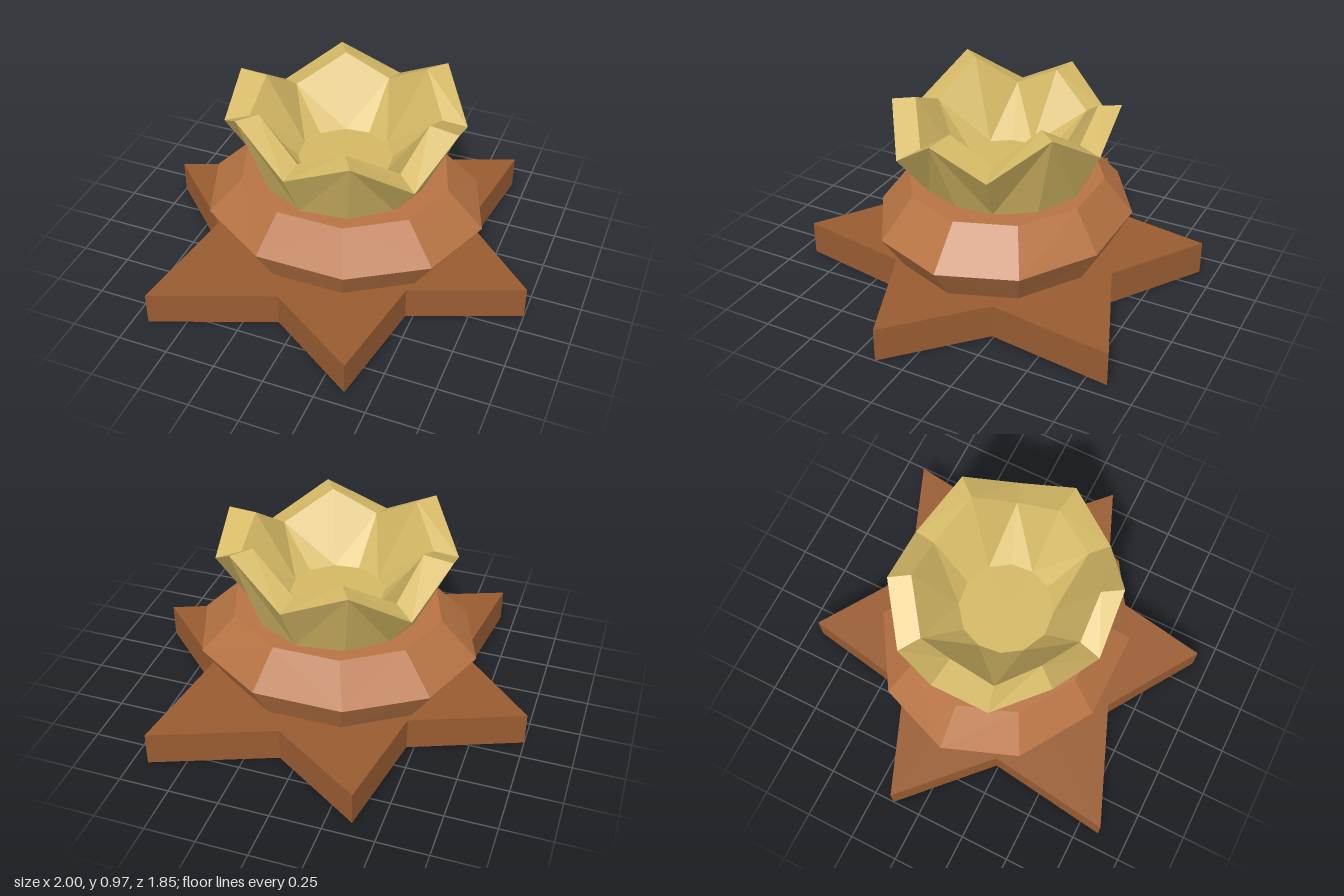
import * as THREE from 'three';

const CX = 0.006, CZ = -0.009;

// Skin between closed rings of [x, y, z] points, with a fan cap at each end
function loft(name, color, rings) {
  const pos = [];
  const tri = (...pts) => pts.forEach(p => pos.push(...p));
  const n = rings[0].length;
  const centre = ring => [0, 1, 2].map(k => ring.reduce((s, p) => s + p[k], 0) / n);
  const first = rings[0], last = rings[rings.length - 1];
  const lowCentre = centre(first), topCentre = centre(last);
  for (let j = 0; j < n; j++) {
    const k = (j + 1) % n;
    tri(lowCentre, first[j], first[k]);
    tri(topCentre, last[k], last[j]);
    for (let i = 0; i < rings.length - 1; i++) {
      const a = rings[i][j], b = rings[i][k], c = rings[i + 1][k], d = rings[i + 1][j];
      // alternate the diagonals so that each petal is symmetrical
      if (j % 2 === 0) { tri(a, d, b); tri(b, d, c); }
      else { tri(a, d, c); tri(a, c, b); }
    }
  }
  const geometry = new THREE.BufferGeometry();
  geometry.setAttribute('position', new THREE.Float32BufferAttribute(pos, 3));
  geometry.computeVertexNormals();
  const mesh = new THREE.Mesh(geometry, new THREE.MeshStandardMaterial({ color, flatShading: true }));
  mesh.name = name;
  return mesh;
}

// Complete a half ring by turning it 180 degrees about the vertical axis
const halfTurn = (half, cx, cz) =>
  [...half, ...half.map(([x, y, z]) => [2 * cx - x, y, 2 * cz - z])];

// Points at a fixed radius, in the same directions as another ring
const towards = (ring, radius, y) => ring.map(([x, , z]) => {
  const s = radius / Math.hypot(x - CX, z - CZ);
  return [CX + (x - CX) * s, y, CZ + (z - CZ) * s];
});

export function createModel() {
  const model = new THREE.Group();
  model.name = 'lotusStand';

  // Six-pointed star plinth
  const starHalf = [[1, 0.145], [0.465, 0.36], [0.37, 0.923], [-0.09, 0.625], [-0.675, 0.855], [-0.595, 0.24]];
  const star = y => halfTurn(starHalf.map(([x, z]) => [x, y, z]), 0, 0);
  model.add(loft('starBase', 0x995c32, [star(0), star(0.17)]));

  // Ten-sided oval collar, widest at mid height
  const oval = (rx, rz, y) => Array.from({ length: 10 }, (_, i) => {
    const t = i * Math.PI / 5;
    return [CX + rx * Math.cos(t), y, CZ + rz * Math.sin(t)];
  });
  model.add(loft('collar', 0xb87444, [oval(0.59, 0.525, 0.17), oval(0.713, 0.62, 0.345), oval(0.53, 0.48, 0.53)]));

  // Petalled bowl: foot, outer rim, inner rim, floor
  const outer = halfTurn([[0.592, 0.915, 0.07], [0.472, 0.73, 0.325], [0.225, 0.912, 0.495],
    [-0.085, 0.782, 0.522], [-0.367, 0.967, 0.41], [-0.548, 0.782, 0.18]], CX, CZ);
  const inner = halfTurn([[0.445, 0.92, 0.05], [0.377, 0.765, 0.25], [0.165, 0.915, 0.4],
    [-0.063, 0.81, 0.41], [-0.29, 0.968, 0.32], [-0.43, 0.81, 0.15]], CX, CZ);
  model.add(loft('petalBowl', 0xd4b865, [towards(outer, 0.415, 0.53), outer, inner, towards(inner, 0.232, 0.59)]));

  return model;
}
